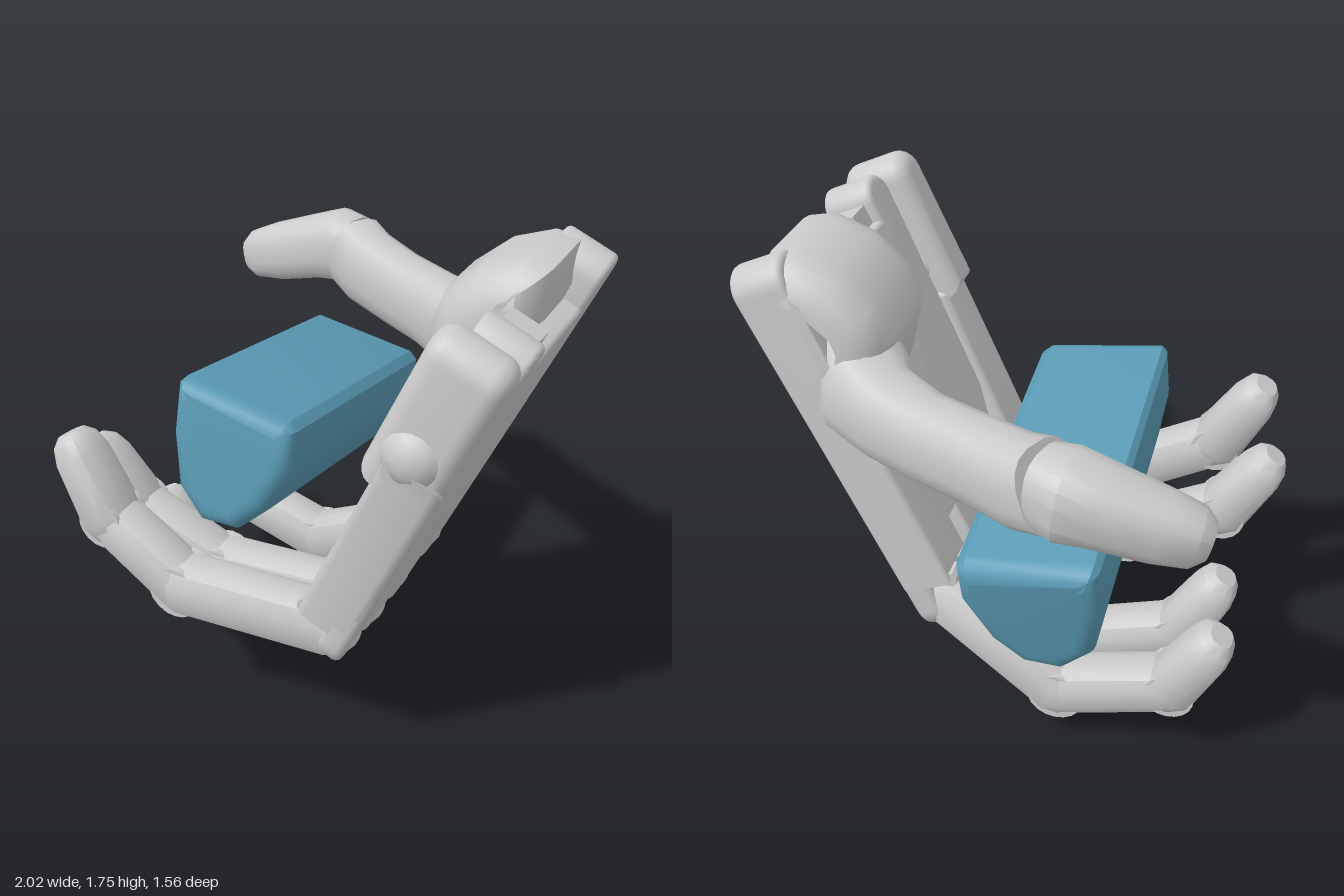
import * as THREE from 'three';
import { toCreasedNormals } from 'three/addons/utils/BufferGeometryUtils.js';

const grey = new THREE.MeshStandardMaterial({ color: 0xcccccc });
const teal = new THREE.MeshStandardMaterial({ color: 0x5a9ab4 });
const V = (x, y, z) => new THREE.Vector3(x, y, z);

function part(parent, name, geometry, material = grey) {
  const mesh = new THREE.Mesh(geometry, material);
  mesh.name = name;
  parent.add(mesh);
  return mesh;
}

// Rounded-edge slab; the outline stays at its drawn size
function slab(shape, depth, bevel, segments = 3) {
  const g = new THREE.ExtrudeGeometry(shape, {
    depth: depth - 2 * bevel, bevelThickness: bevel, bevelSize: bevel,
    bevelOffset: -bevel, bevelSegments: segments, curveSegments: 10,
  });
  return toCreasedNormals(g.translate(0, 0, bevel), 0.6);
}

const polygon = (pts) => new THREE.Shape(pts.map(([x, y]) => new THREE.Vector2(x, y)));

// Loft of rounded-square rings; each ring is [centre, half width, half thickness]
function loft(rings, sides = 12) {
  const pos = [], index = [], n = rings.length;
  rings.forEach(([c, w, h], i) => {
    const T = rings[Math.min(i + 1, n - 1)][0].clone().sub(rings[Math.max(i - 1, 0)][0]).normalize();
    const S = V(0, 0, 1).addScaledVector(T, -T.z).normalize();
    const U = T.clone().cross(S);
    for (let j = 0; j < sides; j++) {
      const a = (j + 0.5) / sides * Math.PI * 2;
      const round = (v) => Math.sign(v) * Math.pow(Math.abs(v), 0.75);
      const p = c.clone().addScaledVector(S, w * round(Math.cos(a))).addScaledVector(U, h * round(Math.sin(a)));
      pos.push(p.x, p.y, p.z);
    }
  });
  for (let i = 0; i < n - 1; i++) for (let j = 0; j < sides; j++) {
    const a = i * sides + j, b = i * sides + (j + 1) % sides;
    index.push(a, b, b + sides, a, b + sides, a + sides);
  }
  const first = n * sides, last = (n - 1) * sides;
  for (const [c] of [rings[0], rings[n - 1]]) pos.push(c.x, c.y, c.z);
  for (let j = 0; j < sides; j++) {
    const k = (j + 1) % sides;
    index.push(first, k, j, first + 1, last + j, last + k);
  }
  const g = new THREE.BufferGeometry();
  g.setAttribute('position', new THREE.Float32BufferAttribute(pos, 3));
  g.setIndex(index);
  return toCreasedNormals(g, 0.6);
}

// One finger bone with rounded ends that reach past both joints
function bone(a, b, w0, h0, w1, h1) {
  const d = b.clone().sub(a), len = d.length();
  d.normalize();
  const rows = [[-0.09, 0.5], [-0.06, 0.82], [0, 1], [len, 1], [len + 0.06, 0.82], [len + 0.09, 0.5]];
  return loft(rows.map(([s, k]) => {
    const f = THREE.MathUtils.clamp(s / len, 0, 1);
    return [a.clone().addScaledVector(d, s), k * (w0 + (w1 - w0) * f), k * (h0 + (h1 - h0) * f)];
  }));
}

function pin(parent, name, p, r, width) {
  const g = new THREE.CylinderGeometry(r, r, width, 18).rotateX(Math.PI / 2);
  part(parent, name, toCreasedNormals(g, 0.6)).position.copy(p);
}

// Joints run knuckle, middle, outer, tip
function finger(name, joints) {
  const g = new THREE.Group();
  g.name = name;
  const [k, m, o, t] = joints.map((p) => V(...p));
  part(g, 'proximalBone', bone(k, m, 0.095, 0.105, 0.1, 0.105));
  part(g, 'middleBone', bone(m, o, 0.095, 0.1, 0.095, 0.095));
  part(g, 'fingertip', bone(o, t, 0.105, 0.1, 0.098, 0.085));
  pin(g, 'middlePin', m, 0.1, 0.15);
  pin(g, 'outerPin', o, 0.09, 0.16);
  return g;
}

// Lower edge of the palm: lobes of half width 0.1 parted by slits
const lobes = [[-0.365, 0.46], [-0.11, 0.415], [0.165, 0.47]];

function buildPalm() {
  const palm = new THREE.Group();
  palm.name = 'palm';

  // Back cover with three rounded knuckle lobes
  const cover = new THREE.Shape();
  cover.moveTo(-0.465, 0.71);
  for (const [c, t] of lobes) {
    cover.lineTo(c - 0.1, 0.71);
    cover.lineTo(c - 0.1, t);
    cover.absarc(c, t, 0.1, Math.PI, Math.PI * 2, false);
    cover.lineTo(c + 0.1, 0.71);
  }
  cover.lineTo(0.345, 0.9);
  cover.lineTo(0.36, 1.6);
  cover.lineTo(-0.465, 1.6);
  part(palm, 'knuckleCover', slab(cover, 0.1, 0.025));

  // Thick palm body with two fork arms at the wrist
  const outline = [];
  for (const [c, t] of lobes) {
    outline.push([c - 0.1, 0.71], [c - 0.1, t + 0.1], [c + 0.1, t + 0.1], [c + 0.1, 0.71]);
  }
  const body = polygon([...outline, [0.345, 0.9], [0.38, 1.5]]);
  body.absarc(0.31, 1.72, 0.08, 0, Math.PI, false);
  body.lineTo(0.23, 1.66);
  body.lineTo(-0.285, 1.66);
  body.absarc(-0.375, 1.75, 0.09, 0, Math.PI, false);
  part(palm, 'palmBody', slab(body, 0.2, 0.02));

  // Separate bone beside the palm: thin lobe below, thick shaft above
  const lobe = new THREE.Shape();
  lobe.moveTo(0.35, 0.58);
  lobe.absarc(0.455, 0.58, 0.105, Math.PI, Math.PI * 2, false);
  lobe.lineTo(0.57, 1.1);
  lobe.lineTo(0.36, 1.1);
  part(palm, 'sideLobe', slab(lobe, 0.1, 0.025));
  const shaft = polygon([[0.35, 0.62], [0.56, 0.62], [0.585, 1.3], [0.61, 1.38], [0.375, 1.27]]);
  part(palm, 'sideBone', slab(shaft, 0.21, 0.03));

  // Outer wrist fork with a rounded knob at its foot
  const w = new THREE.Shape();
  w.moveTo(0.395, 1.25);
  w.lineTo(0.575, 1.25);
  w.absarc(0.485, 1.72, 0.09, 0, Math.PI, false);
  part(palm, 'outerFork', slab(w, 0.27, 0.06, 5));
  part(palm, 'forkKnob', new THREE.SphereGeometry(0.12, 16, 10)).position.set(0.5, 1.4, 0.14);

  // Wrist blocks between the forks
  for (const [x, t, wd] of [[0.18, 1.68, 0.1], [0.08, 1.66, 0.08]]) {
    part(palm, 'wristBlock', new THREE.BoxGeometry(wd, 0.1, 0.13)).position.set(x, t, 0.1);
  }
  // Small stops at the inside of the knuckles
  for (const [x, t] of [...lobes, [0.455, 0.53]]) {
    for (const side of [-1, 1]) {
      const stop = new THREE.CylinderGeometry(0.03, 0.03, 0.07, 8).rotateZ(Math.PI / 2);
      part(palm, 'knuckleStop', toCreasedNormals(stop, 0.6)).position.set(x + side * 0.05, t + 0.11, 0.19);
    }
  }
  // Tilted frame: x across the hand, y up the palm, z out of the inner face
  palm.applyMatrix4(new THREE.Matrix4().makeBasis(V(0, 0, 1), V(0.412, 0.911, 0), V(-0.911, 0.412, 0)).setPosition(0.142, 0, 0));
  return palm;
}

export function createModel() {
  const model = new THREE.Group();
  model.name = 'handHoldingBlock';
  const hand = new THREE.Group();
  hand.name = 'hand';
  hand.rotation.y = 0.423;
  model.add(hand);
  hand.add(buildPalm());

  // Base of the thumb
  const mound = polygon([[0.5, 1.1], [0.44, 1.26], [0.385, 1.47], [0.43, 1.6], [0.55, 1.7], [0.69, 1.75],
    [0.78, 1.73], [0.78, 1.6], [0.7, 1.4], [0.58, 1.12]]);
  part(hand, 'thumbBase', slab(mound, 0.52, 0.14, 6)).position.z = -0.47;

  // Four curled fingers
  const fingers = {
    indexFinger: [[0.295, 0.56, 0.46], [-0.28, 0.55, 0.475], [-0.58, 0.73, 0.455], [-0.7, 0.94, 0.44]],
    middleFinger: [[0.25, 0.46, 0.165], [-0.3, 0.44, 0.18], [-0.65, 0.61, 0.2], [-0.77, 0.79, 0.215]],
    ringFinger: [[0.22, 0.41, -0.11], [-0.2, 0.11, -0.09], [-0.56, 0.23, -0.08], [-0.67, 0.43, -0.07]],
    littleFinger: [[0.245, 0.46, -0.365], [-0.2, 0.21, -0.455], [-0.6, 0.33, -0.46], [-0.71, 0.52, -0.465]],
  };
  for (const [name, joints] of Object.entries(fingers)) hand.add(finger(name, joints));

  // Thumb stretched over the block
  const ring = (x, y, z, w, h) => [V(x, y, z), w, h];
  part(model, 'thumb', loft([
    ring(-0.56, 1.36, -0.63, 0.12, 0.14), ring(-0.45, 1.32, -0.62, 0.115, 0.145), ring(-0.25, 1.3, -0.605, 0.11, 0.14),
    ring(-0.05, 1.285, -0.6, 0.115, 0.14), ring(0.15, 1.275, -0.575, 0.13, 0.155), ring(0.28, 1.29, -0.54, 0.155, 0.18),
    ring(0.4, 1.35, -0.49, 0.15, 0.17),
  ], 16));
  part(model, 'thumbTip', loft([
    ring(-0.985, 1.255, -0.43, 0.05, 0.06), ring(-0.95, 1.265, -0.45, 0.08, 0.095), ring(-0.86, 1.29, -0.5, 0.095, 0.115),
    ring(-0.72, 1.335, -0.575, 0.115, 0.125), ring(-0.62, 1.36, -0.625, 0.125, 0.14), ring(-0.54, 1.36, -0.635, 0.11, 0.125),
  ], 16));

  // Tapered block in the grasp
  const section = polygon([[-0.38, 1.15], [0.03, 1.08], [0.06, 1.05], [0.055, 0.91], [-0.03, 0.74], [-0.14, 0.64],
    [-0.28, 0.64], [-0.38, 0.75], [-0.41, 0.95], [-0.4, 1.13]].map(([x, y]) => [x, y - 0.9]));
  const block = part(hand, 'block', slab(section, 1.13, 0.065, 5).translate(0, 0, -0.565), teal);
  block.position.set(0, 0.9, -0.225);
  block.rotation.x = -0.17;
  return model;
}
